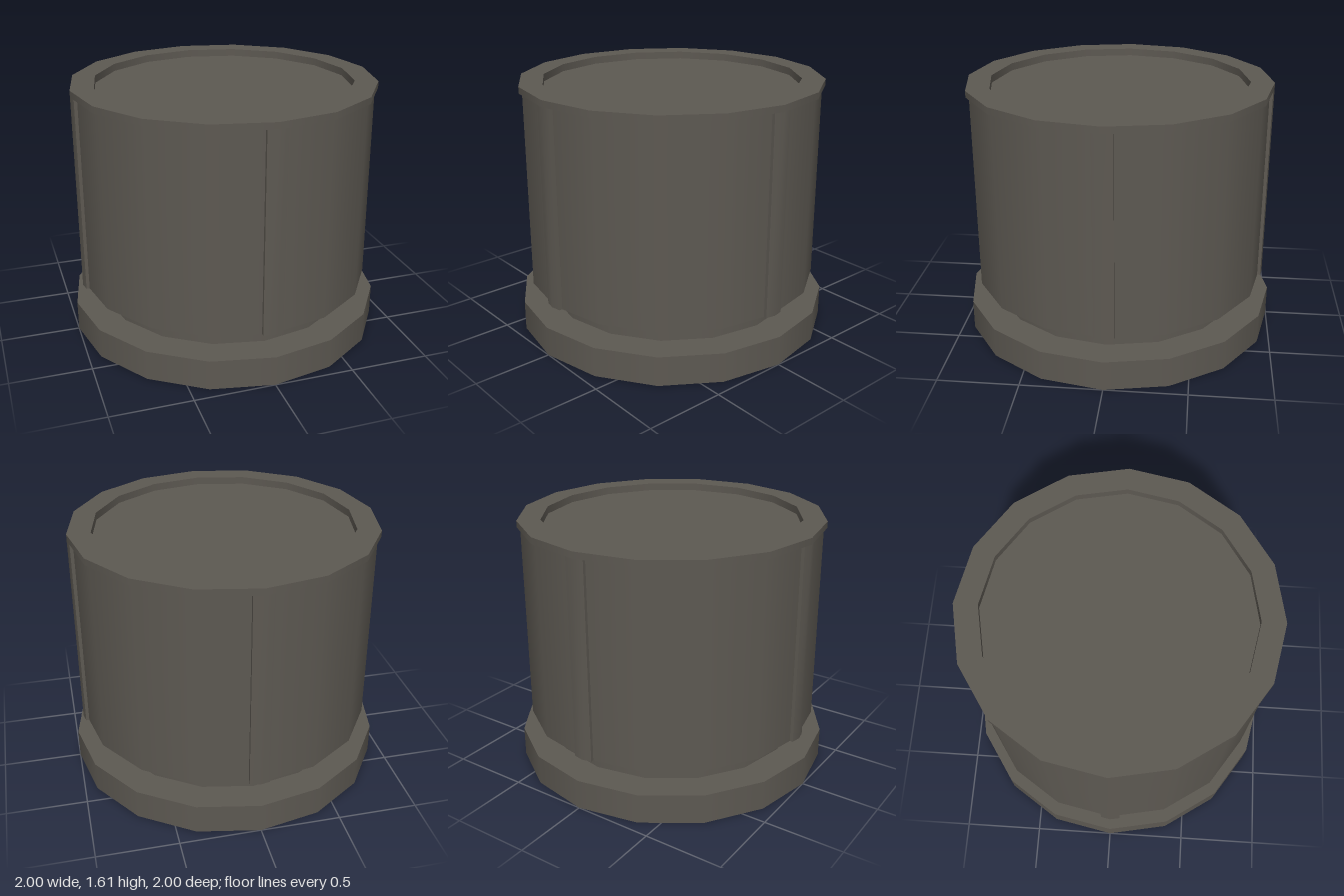
import * as THREE from 'three';
import { mergeGeometries, toCreasedNormals } from 'three/addons/utils/BufferGeometryUtils.js';

const SIDES = 16;
const RIM = 0.955;
const CORE = 0.81;
const DRUM_BOTTOM = 0.315;
const DRUM_TOP = 1.567;

// Turn a profile around y, one band per segment so edges between bands stay crisp
function turned(profile) {
  const bands = [];
  for (let i = 0; i < profile.length - 1; i++) {
    const pair = [profile[i], profile[i + 1]].map(([r, y]) => new THREE.Vector2(r, y));
    const band = new THREE.LatheGeometry(pair, SIDES);
    band.normalizeNormals();
    bands.push(band);
  }
  return mergeGeometries(bands);
}

// Raise an open section of [x, z] points into a thin upright wall
function upright(section, bottom, top) {
  const positions = [];
  for (let i = 0; i < section.length - 1; i++) {
    const [x0, z0] = section[i];
    const [x1, z1] = section[i + 1];
    positions.push(x0, bottom, z0, x1, bottom, z1, x1, top, z1);
    positions.push(x0, bottom, z0, x1, top, z1, x0, top, z0);
  }
  const geometry = new THREE.BufferGeometry();
  geometry.setAttribute('position', new THREE.Float32BufferAttribute(positions, 3));
  return toCreasedNormals(geometry, Math.PI / 6);
}

export function createModel() {
  const model = new THREE.Group();
  const darkMetal = new THREE.MeshStandardMaterial({ color: 0x5d5952, side: THREE.DoubleSide });
  darkMetal.name = 'darkMetal';

  const add = (name, geometry) => {
    const mesh = new THREE.Mesh(geometry, darkMetal);
    mesh.name = name;
    model.add(mesh);
    return mesh;
  };

  // Wide foot: a thin shell, open underneath
  add('base', turned([[1, 0], [1, 0.19], [0, 0.19]]));

  // Core: the neck continues up inside the drum and closes as the recessed top
  add('core', turned([[CORE, 0.19], [CORE, 1.561], [0, 1.561]]));

  // Drum wall, open at the bottom and set slightly back from the rim
  const drumRadius = 0.935;
  add('drum', turned([[drumRadius, DRUM_BOTTOM], [drumRadius, DRUM_TOP]]));

  // Overhanging rim around the recess
  add('rim', turned([
    [drumRadius, DRUM_TOP], [RIM, DRUM_TOP], [RIM, 1.608], [CORE, 1.608], [CORE, 1.561],
  ]));

  // Four raised vertical strips, flush with the rim, their sides reaching in to the core
  const half = 0.062;
  const edge = RIM - half * Math.tan(Math.PI / SIDES);
  const strip = upright(
    [[-half, CORE - 0.01], [-half, edge], [0, RIM], [half, edge], [half, CORE - 0.01]],
    DRUM_BOTTOM, DRUM_TOP,
  );
  for (let i = 0; i < 4; i++) {
    add('strip' + (i + 1), strip).rotation.y = (i * Math.PI) / 2;
  }

  return model;
}
